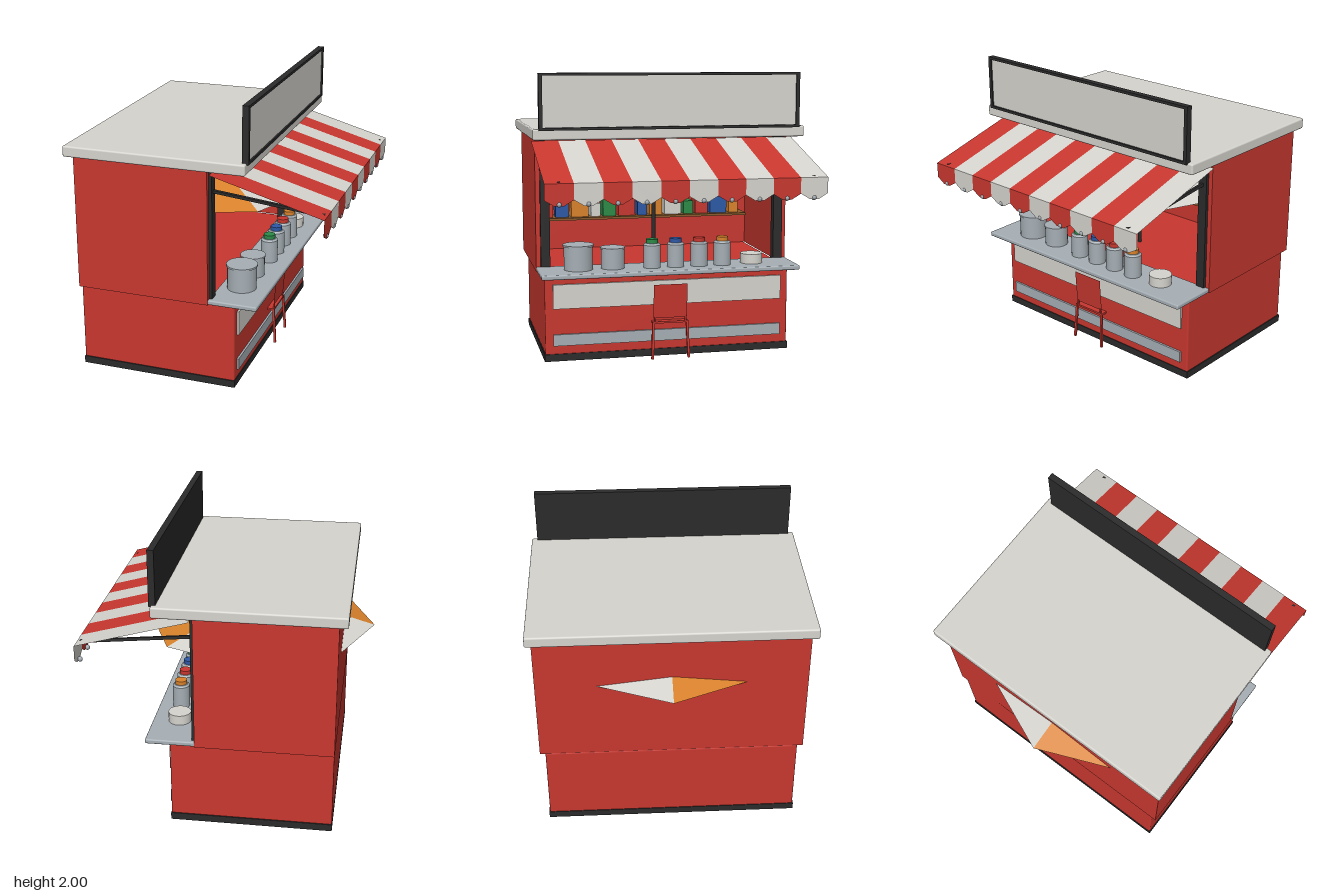
import * as THREE from 'three';
import { RoundedBoxGeometry } from 'three/addons/geometries/RoundedBoxGeometry.js';

const mat = (name, color, side = THREE.FrontSide) => {
  const m = new THREE.MeshStandardMaterial({ color, side });
  m.name = name;
  return m;
};

export function createModel() {
  const D = THREE.DoubleSide;
  const red = mat('red paint', 0xc8372f, D);
  const white = mat('off white', 0xd6d4ce, D);
  const black = mat('charcoal', 0x2b2b2c);
  const steel = mat('steel', 0xa6afb5);
  const brown = mat('shelf wood', 0x8a5a2b);
  const orange = mat('orange', 0xd9822b, D);
  const blue = mat('blue', 0x2c59a6);
  const green = mat('green', 0x2b8a47);

  const root = new THREE.Group();
  const add = (name, geo, m, x = 0, y = 0, z = 0, parent = root) => {
    const mesh = new THREE.Mesh(geo, m);
    mesh.name = name;
    mesh.position.set(x, y, z);
    parent.add(mesh);
    return mesh;
  };
  // box given by its minimum and maximum on each axis
  const box = (name, m, x0, x1, y0, y1, z0, z1, round = 0, parent = root) => {
    const s = [x1 - x0, y1 - y0, z1 - z0];
    const geo = round ? new RoundedBoxGeometry(...s, 2, round) : new THREE.BoxGeometry(...s);
    return add(name, geo, m, (x0 + x1) / 2, (y0 + y1) / 2, (z0 + z1) / 2, parent);
  };
  const cyl = (name, m, r0, r1, y0, y1, x, z, parent = root, seg = 24) =>
    add(name, new THREE.CylinderGeometry(r1, r0, y1 - y0, seg), m, x, (y0 + y1) / 2, z, parent);
  // straight bar between two points
  const bar = (name, m, a, b, t, parent = root) => {
    const p = new THREE.Vector3(...a), q = new THREE.Vector3(...b);
    const mesh = add(name, new THREE.BoxGeometry(t, t, p.distanceTo(q)), m, 0, 0, 0, parent);
    mesh.position.copy(p).add(q).multiplyScalar(0.5);
    mesh.quaternion.setFromUnitVectors(new THREE.Vector3(0, 0, 1), q.sub(p).normalize());
    return mesh;
  };
  // flat polygon as a triangle fan
  const fan = (pts) => {
    const g = new THREE.BufferGeometry();
    const v = [];
    for (let i = 1; i < pts.length - 1; i++) v.push(...pts[0], ...pts[i], ...pts[i + 1]);
    g.setAttribute('position', new THREE.Float32BufferAttribute(v, 3));
    g.computeVertexNormals();
    return g;
  };

  // base, walls and roof
  box('plinth', black, -0.757, 0.355, 0.02, 0.07, -0.875, 0.875);
  box('lowerBody', red, -0.755, 0.352, 0.065, 0.62, -0.87, 0.87, 0.012);
  box('backWall', red, -0.757, -0.72, 0.62, 1.56, -0.907, 0.907);
  for (const s of [-1, 1]) {
    const z = [s * 0.872, s * 0.907].sort((a, b) => a - b);
    box('sideWall', red, -0.757, 0.178, 0.62, 1.55, z[0], z[1]);
    box('cornerPost', black, 0.14, 0.2, 0.62, 1.56, s * 0.843 - 0.032, s * 0.843 + 0.032);
    // slim trim closing the wall end
    box('wallTrim', black, 0.174, 0.2, 0.64, 1.55, s * 0.87 - 0.006, s * 0.87 + 0.006);
    bar('awningArm', black, [0.19, 1.4, s * 0.84], [0.935, 1.323, s * 0.84], 0.02);
  }
  box('roof', white, -0.815, 0.443, 1.555, 1.63, -0.945, 0.945, 0.012);
  box('counter', steel, 0.175, 0.515, 0.623, 0.656, -0.907, 0.907, 0.01);
  box('frontPanel', white, 0.35, 0.366, 0.39, 0.56, -0.815, 0.815);
  box('kickPanel', steel, 0.35, 0.366, 0.13, 0.21, -0.815, 0.815);

  // sign board on the roof edge
  const sign = new THREE.Group();
  sign.name = 'signBoard';
  root.add(sign);
  box('signBack', black, 0.412, 0.44, 1.62, 2, -0.905, 0.905, 0, sign);
  box('signFace', white, 0.44, 0.446, 1.64, 1.983, -0.88, 0.88, 0, sign);
  for (const y of [1.62, 1.982]) box('signRail', black, 0.44, 0.456, y, y + 0.018, -0.905, 0.905, 0, sign);
  for (const z of [-0.905, 0.88]) box('signStile', black, 0.44, 0.456, 1.62, 2, z, z + 0.025, 0, sign);

  // striped awning with a pointed valance and a small bead on each point
  const awning = new THREE.Group();
  awning.name = 'awning';
  root.add(awning);
  const w = 0.1865;
  for (let i = 0; i < 10; i++) {
    const z0 = 5 * w - i * w, z1 = z0 - w, zc = (z0 + z1) / 2;
    const m = i % 2 ? white : red;
    add('awningStripe', fan([[0.2, 1.535, z0], [0.955, 1.325, z0], [0.955, 1.325, z1], [0.2, 1.535, z1]]), m, 0, 0, 0, awning);
    add('valance', fan([[0.955, 1.325, z0], [0.955, 1.22, z0], [0.955, 1.182, zc + 0.03],
      [0.955, 1.182, zc - 0.03], [0.955, 1.22, z1], [0.955, 1.325, z1]]), m, 0, 0, 0, awning);
    add('valanceBead', new THREE.SphereGeometry(0.018, 10, 8), steel, 0.945, 1.192, zc, awning);
  }

  // shelves with rows of packets
  const goods = [red, blue, orange, white, green];
  const widths = [0.074, 0.1, 0.1325], heights = [0.1, 0.155, 0.128];
  [[0.89, 0], [1.125, 4]].forEach(([y, shift]) => {
    box('shelf', brown, -0.72, -0.5, y - 0.018, y, -0.815, 0.815);
    let z = 0.77;
    for (let i = 0; i < 13; i++) {
      const k = i % 3;
      box('packet', goods[(i + shift) % 5], -0.67, -0.55, y, y + heights[k], z - widths[k], z);
      z -= widths[k] + 0.0195;
    }
  });

  // pots, jars and a bowl on the counter
  const top = 0.655;
  for (const [z, r, h] of [[0.633, 0.1, 0.175], [0.393, 0.082, 0.148]]) {
    const pot = new THREE.Group();
    pot.name = 'pot';
    root.add(pot);
    cyl('potBody', steel, r, r, top, top + h - 0.01, 0.325, z, pot);
    cyl('potRim', steel, r * 1.07, r * 1.07, top + h - 0.012, top + h, 0.325, z, pot);
  }
  [green, blue, red, orange].forEach((cap, i) => {
    const z = 0.122 - i * 0.168;
    cyl('jar', steel, 0.06, 0.06, top, 0.815, 0.36, z);
    cyl('jarShoulder', steel, 0.06, 0.048, 0.815, 0.828, 0.36, z);
    cyl('jarCap', cap, 0.041, 0.041, 0.826, 0.856, 0.36, z);
  });
  cyl('bowl', white, 0.078, 0.078, top, 0.725, 0.33, -0.605);

  // parasol standing inside, with eight alternating panels
  const parasol = new THREE.Group();
  parasol.name = 'parasol';
  parasol.position.x = -0.157;
  root.add(parasol);
  cyl('parasolPole', black, 0.014, 0.014, 0.02, 1.41, 0, 0, parasol, 12);
  const rim = (i) => [0.808 * Math.cos(i * Math.PI / 4), 1.19, 0.808 * Math.sin(i * Math.PI / 4)];
  for (let i = 0; i < 8; i++)
    add('parasolPanel', fan([[0, 1.42, 0], rim(i + 1), rim(i)]), i % 2 ? orange : white, 0, 0, 0, parasol);
  for (let i = 0; i < 4; i++) {
    const a = Math.PI / 4 + i * Math.PI / 2, c = Math.cos(a), s = Math.sin(a);
    bar('parasolFoot', steel, [c * 0.1, 0.022, s * 0.1], [c * 0.175, 0.01, s * 0.175], 0.018, parasol);
  }

  // four chairs around the parasol
  for (let i = 0; i < 4; i++) {
    const chair = new THREE.Group();
    chair.name = 'chair';
    chair.rotation.y = i * Math.PI / 2;
    parasol.add(chair);
    box('chairSeat', red, 0.33, 0.56, 0.262, 0.275, -0.125, 0.125, 0, chair);
    add('chairBack', fan([[0.555, 0.3, 0.12], [0.555, 0.3, -0.12], [0.572, 0.54, -0.12], [0.572, 0.54, 0.12]]), red, 0, 0, 0, chair);
    for (const s of [-1, 1]) {
      bar('backLeg', red, [0.555, 0.275, s * 0.12], [0.573, 0.012, s * 0.13], 0.016, chair);
      bar('frontLeg', red, [0.34, 0.275, s * 0.12], [0.325, 0.012, s * 0.13], 0.016, chair);
      bar('backStay', red, [0.556, 0.27, s * 0.11], [0.556, 0.31, s * 0.11], 0.01, chair);
    }
  }
  return root;
}
